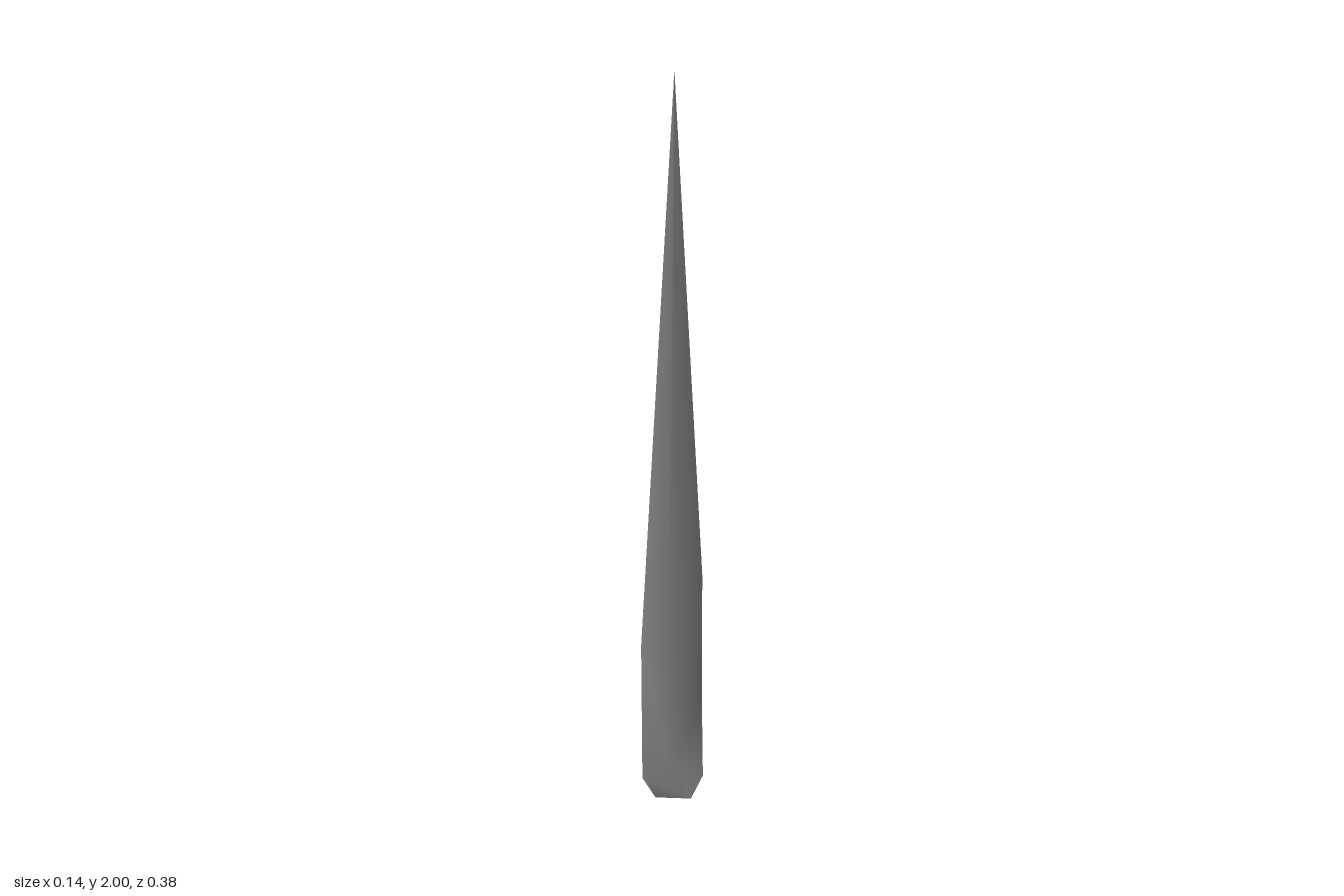
import * as THREE from 'three';
import { toCreasedNormals } from 'three/addons/utils/BufferGeometryUtils.js';

const SIDES = 5;

// Five-sided cross-section at height y, stretched separately along x and z
function ring(y, centreX, radiusX, radiusZ) {
  return Array.from({ length: SIDES }, (_, i) => {
    const angle = Math.PI - (i * 2 * Math.PI) / SIDES;
    return [centreX + radiusX * Math.cos(angle), y, radiusZ * Math.sin(angle)];
  });
}

// Triangles with smooth sides and sharp edges
function creasedGeometry(triangles) {
  const geometry = new THREE.BufferGeometry();
  geometry.setAttribute('position', new THREE.Float32BufferAttribute(triangles.flat(2), 3));
  return toCreasedNormals(geometry, 1);
}

export function createModel() {
  // Narrow open stem end, two broad flattened sections, then the point
  const rings = [
    ring(0, 0.007, 0.077, 0.076),
    ring(0.18, 0.007, 0.039, 0.202),
    ring(0.6, 0.005, 0.04, 0.195),
  ];
  const tip = [0.006, 2, 0];
  const body = [];
  const facet = [];

  for (let i = 0; i < SIDES; i++) {
    const j = (i + 1) % SIDES;
    for (let r = 0; r < rings.length - 1; r++) {
      const low = rings[r], high = rings[r + 1];
      if (j === 0) {
        // The last side folds the other way, mirroring the first
        body.push([low[i], low[j], high[j]], [low[i], high[j], high[i]]);
      } else {
        // One triangle at the back of the stem is a separate flat facet
        const target = r === 0 && i === 3 ? facet : body;
        target.push([low[i], low[j], high[i]]);
        body.push([low[j], high[j], high[i]]);
      }
    }
    // Long taper to the point
    body.push([rings[2][i], rings[2][j], tip]);
  }

  const group = new THREE.Group();
  group.name = 'bladeModel';
  const material = new THREE.MeshStandardMaterial({ color: 0x949494, side: THREE.DoubleSide });
  for (const [name, triangles] of Object.entries({ blade: body, stemFacet: facet })) {
    const mesh = new THREE.Mesh(creasedGeometry(triangles), material);
    mesh.name = name;
    group.add(mesh);
  }
  return group;
}
